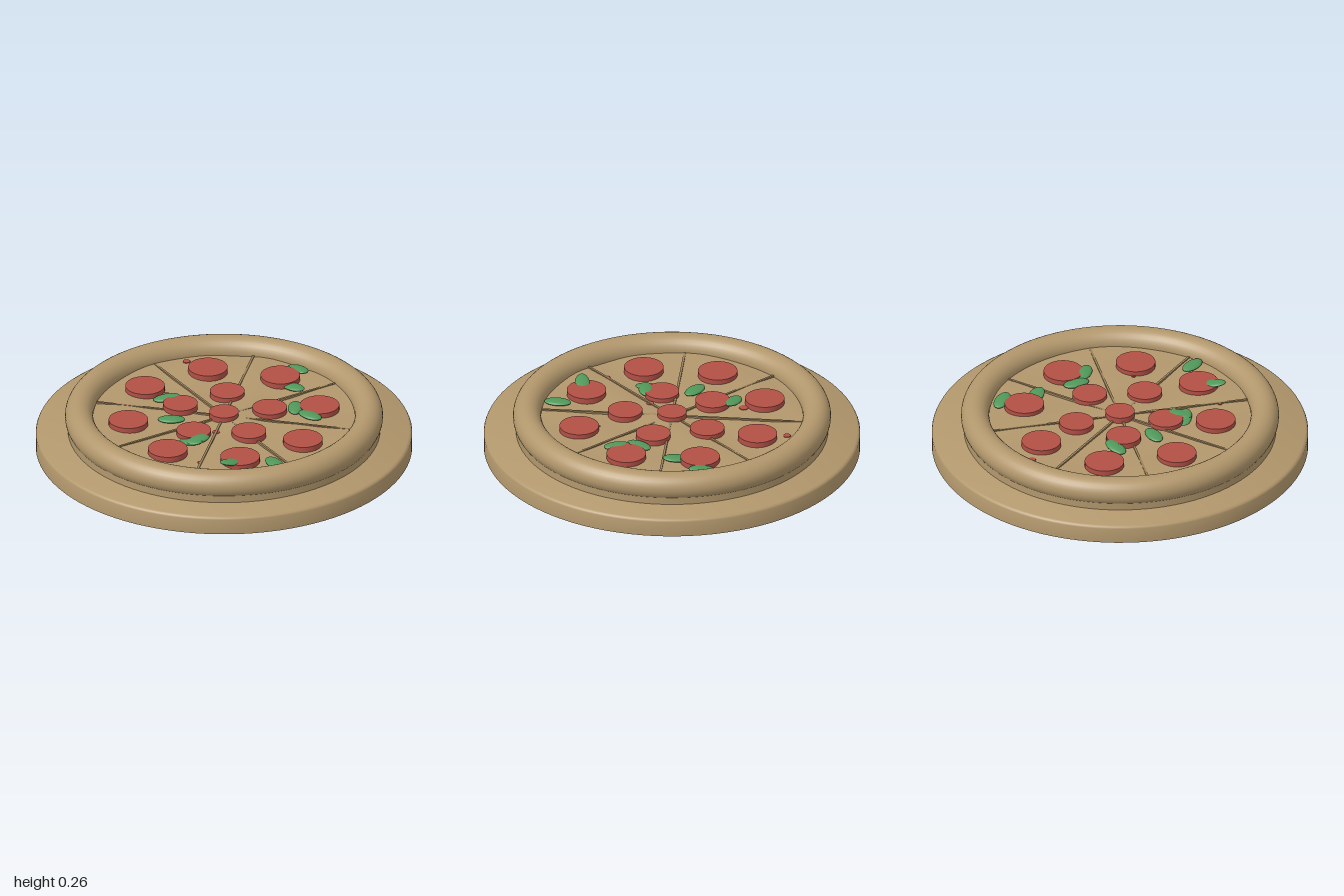
import * as THREE from 'three';
import { toCreasedNormals } from 'three/addons/utils/BufferGeometryUtils.js';

const mat = (name, color) => {
  const m = new THREE.MeshStandardMaterial({ color });
  m.name = name;
  return m;
};

// Gently uneven height of the melted cheese
const cheeseHeight = (x, z) =>
  0.18 + 0.005 * Math.sin(9 * x + 1) * Math.cos(8 * z - 0.6) + 0.003 * Math.sin(14 * (x + z));

export function createModel() {
  const tan = mat('baked tan', 0xb2976c);
  const groove = mat('cut brown', 0x9a8059);
  const red = mat('tomato red', 0xb25046);
  const green = mat('basil green', 0x50985a);

  const model = new THREE.Group();
  model.name = 'pizza';
  const add = (name, geometry, material, x = 0, y = 0, z = 0) => {
    const mesh = new THREE.Mesh(geometry, material);
    mesh.name = name;
    mesh.position.set(x, y, z);
    model.add(mesh);
    return mesh;
  };

  // Round serving board with a softened upper edge
  const profile = [[0, 0], [1, 0], [1, 0.085], [0.996, 0.094], [0.985, 0.1], [0, 0.1]]
    .map(([r, y]) => new THREE.Vector2(r, y));
  add('board', toCreasedNormals(new THREE.LatheGeometry(profile, 96), 0.7), tan);

  // Dough base and raised crust
  add('doughBase', new THREE.CylinderGeometry(0.83, 0.83, 0.07, 96), tan, 0, 0.135, 0);
  const crust = new THREE.TorusGeometry(0.77, 0.075, 28, 96);
  crust.rotateX(-Math.PI / 2);
  add('crust', crust, tan, 0, 0.185, 0);

  // Wavy cheese surface
  const cheese = new THREE.RingGeometry(0.001, 0.72, 80, 20);
  cheese.rotateX(-Math.PI / 2);
  const p = cheese.attributes.position;
  for (let i = 0; i < p.count; i++) p.setY(i, cheeseHeight(p.getX(i), p.getZ(i)));
  cheese.computeVertexNormals();
  add('cheese', cheese, tan);

  // Four full-width cuts make eight slices
  for (let i = 0; i < 4; i++) {
    const cut = add('sliceCut', new THREE.BoxGeometry(1.39, 0.012, 0.012), groove, 0, 0.181, 0);
    cut.rotation.y = (i * Math.PI) / 4;
  }

  // Pepperoni: one in the centre, a ring of five and a ring of eight
  const pepperoni = (x, z, r) =>
    add('pepperoni', new THREE.CylinderGeometry(r, r, 0.035, 40), red, x, cheeseHeight(x, z) + 0.0105, z);
  const ring = (count, radius, r, start) => {
    for (let i = 0; i < count; i++) {
      const a = start + (i * 2 * Math.PI) / count;
      pepperoni(radius * Math.cos(a), radius * Math.sin(a), r);
    }
  };
  pepperoni(0, 0, 0.078);
  ring(5, 0.25, 0.092, Math.PI / 2);
  ring(8, 0.515, 0.105, Math.PI / 8);

  // Basil leaves: x, z, heading, extra height, tilt
  const leaf = new THREE.SphereGeometry(1, 24, 14);
  leaf.scale(0.073, 0.014, 0.04);
  [
    [-0.165, -0.31, -0.35, 0.018, 0.1],
    [-0.27, -0.095, -0.55, 0.014, 0],
    [-0.265, 0.165, 0.15, 0.018, 0],
    [-0.305, 0.155, -1.2, 0.01, 0.2],
    [0.6, -0.22, -1.4, 0.02, 0.1],
    [0.48, -0.07, -1.35, 0.014, 0.1],
    [0.36, 0.14, 1.0, 0.015, 0],
    [0.38, 0.255, -1.25, 0.014, 0],
    [-0.27, 0.505, 0.15, 0.022, -0.25],
    [-0.07, 0.617, 1.5, 0.014, 0],
  ].forEach(([x, z, heading, lift, tilt]) => {
    const mesh = add('basilLeaf', leaf, green, x, cheeseHeight(x, z) + lift, z);
    mesh.rotation.set(0, heading, tilt);
  });

  // Little spots of sauce showing through the cheese
  [[0.16, -0.63, 0.02], [-0.13, -0.37, 0.025], [-0.13, 0.13, 0.02], [-0.39, 0.38, 0.012], [0.15, 0.38, 0.012]]
    .forEach(([x, z, r]) =>
      add('sauceSpot', new THREE.CylinderGeometry(r, r, 0.006, 12), red, x, cheeseHeight(x, z) + 0.001, z));

  return model;
}
